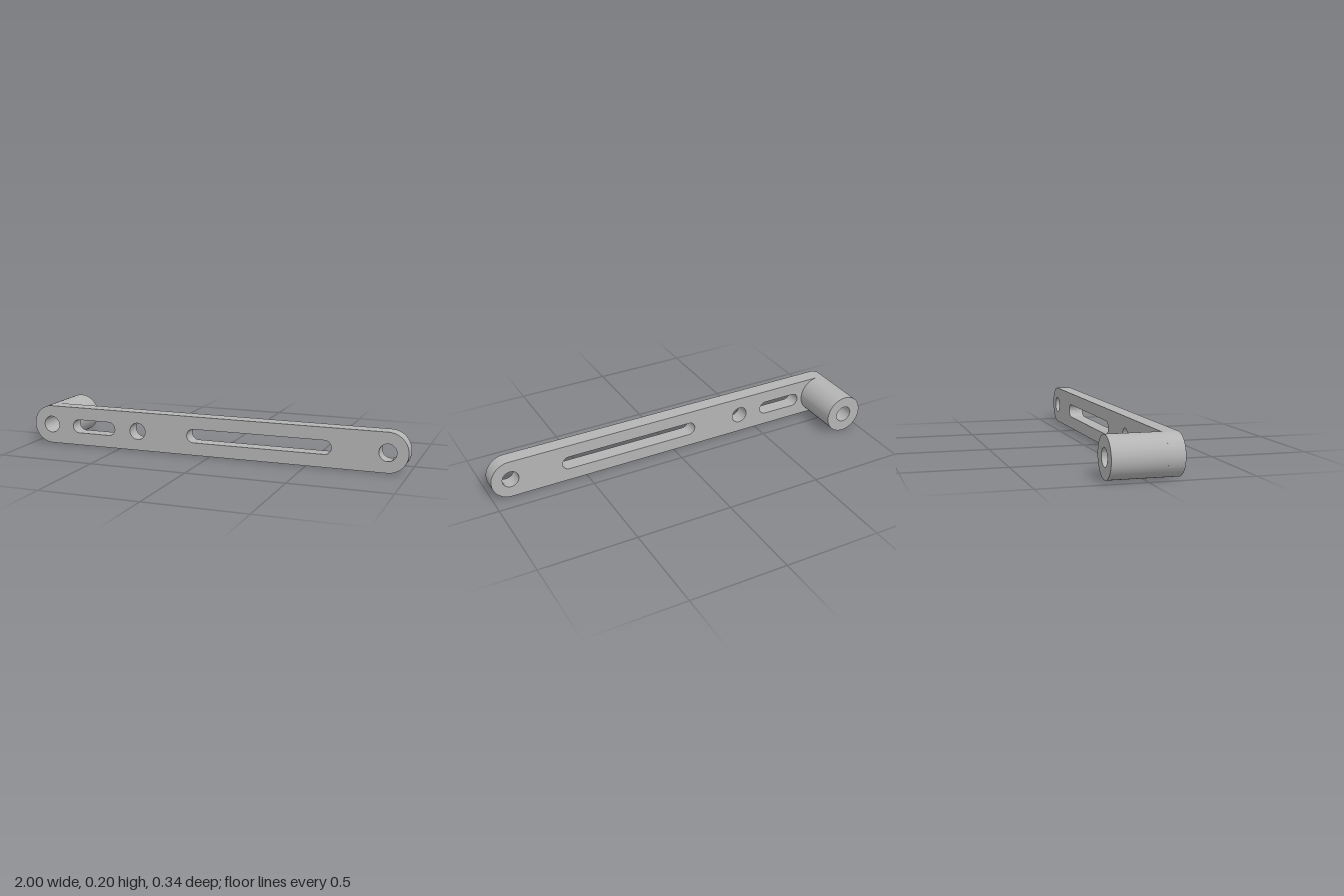
import * as THREE from 'three';
import { toCreasedNormals } from 'three/addons/utils/BufferGeometryUtils.js';

const MID_Y = 0.1;      // height of the centre line
const OUTER_R = 0.1;    // rounded end radius
const HOLE_R = 0.043;
const SLOT_R = 0.035;
const BACK = -0.168, STEP = 0.09, FRONT = 0.168;

// Traces a capsule between two arc centres; equal centres give a circle
function capsule(path, x0, x1, r) {
  if (x0 === x1) {
    path.absarc(x0, MID_Y, r, 0, Math.PI * 2, false);
  } else {
    path.absarc(x1, MID_Y, r, -Math.PI / 2, Math.PI / 2, false);
    path.absarc(x0, MID_Y, r, Math.PI / 2, Math.PI * 1.5, false);
    path.closePath();
  }
  return path;
}

// Extrudes a capsule outline with capsule holes from z0 to z1
function plate(name, outline, holes, z0, z1, material) {
  const shape = capsule(new THREE.Shape(), ...outline);
  for (const hole of holes) shape.holes.push(capsule(new THREE.Path(), ...hole));
  const geometry = new THREE.ExtrudeGeometry(shape, {
    depth: z1 - z0, bevelEnabled: false, curveSegments: 32,
  });
  geometry.translate(0, 0, z0);
  const mesh = new THREE.Mesh(toCreasedNormals(geometry, Math.PI / 6), material);
  mesh.name = name;
  return mesh;
}

export function createModel() {
  const metal = new THREE.MeshStandardMaterial({ color: 0xb4b4b4 });
  metal.name = 'grey metal';

  const group = new THREE.Group();
  group.name = 'slottedLinkArm';

  // Flat arm with three round holes and two slots
  group.add(plate('arm', [-0.9, 0.9, OUTER_R], [
    [-0.9, -0.9, HOLE_R],
    [-0.738, -0.565, SLOT_R],
    [-0.4, -0.4, HOLE_R],
    [-0.091, 0.591, SLOT_R],
    [0.9, 0.9, HOLE_R],
  ], STEP, FRONT, metal));

  // Hollow boss standing off the back of one end
  group.add(plate('boss', [-0.9, -0.9, OUTER_R], [[-0.9, -0.9, HOLE_R]], BACK, STEP, metal));

  return group;
}
